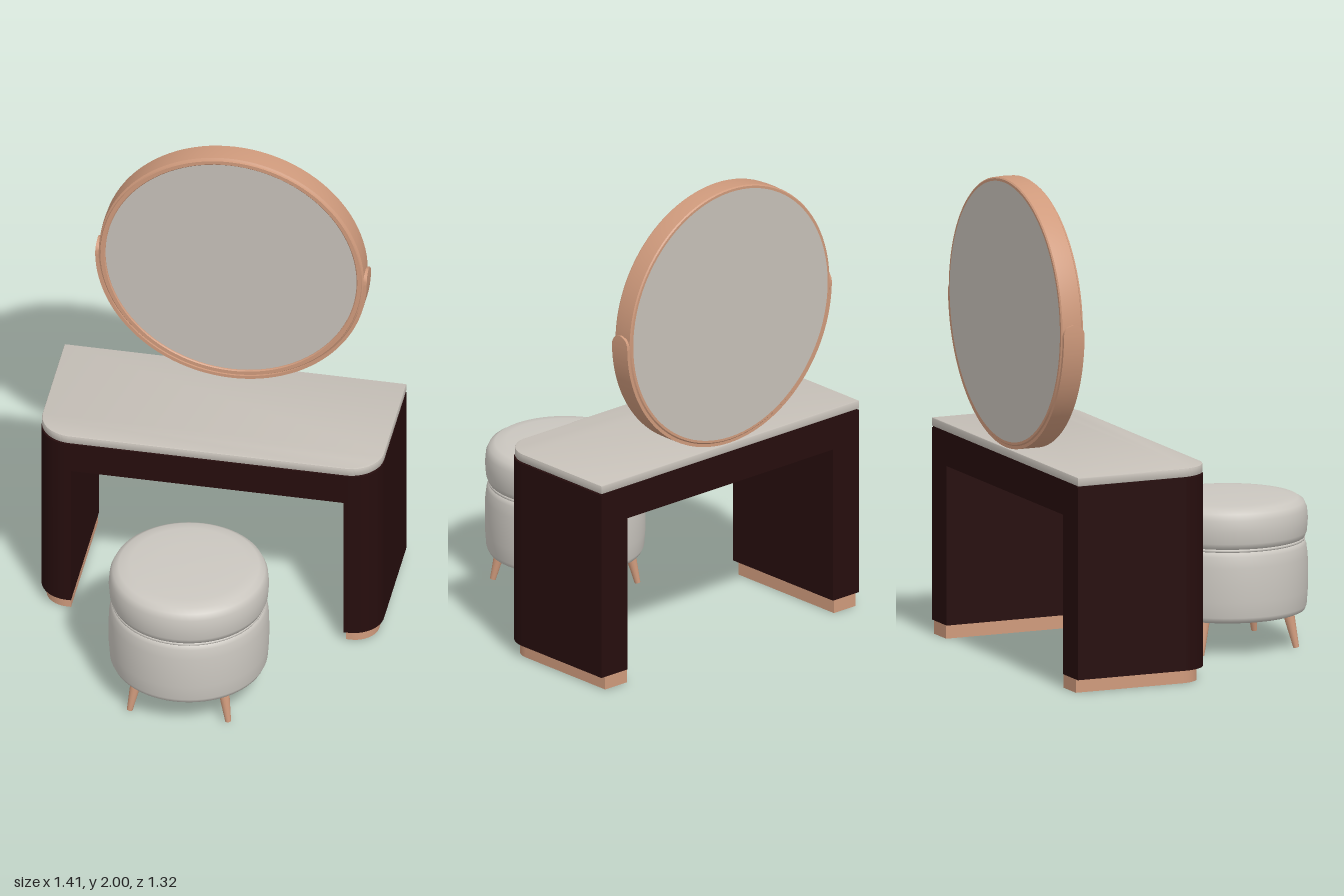
import * as THREE from 'three';
import { toCreasedNormals } from 'three/addons/utils/BufferGeometryUtils.js';

const mat = (name, color) => {
  const m = new THREE.MeshStandardMaterial({ color });
  m.name = name;
  return m;
};

// Plan outline with rounded front corners (r0 at x0, r1 at x1), extruded from y0 to y1
function slab(x0, x1, zBack, zFront, r0, r1, y0, y1, bevel = 0) {
  const b = bevel, f = -zFront - 0 + b, k = -zBack - b;
  const l = x0 + b, r = x1 - b;
  const s = new THREE.Shape();
  s.moveTo(l, k);
  s.lineTo(l, f + r0);
  if (r0) s.absarc(l + r0, f + r0, r0, Math.PI, Math.PI * 1.5, false);
  else s.lineTo(l, f);
  s.lineTo(r - r1, f);
  if (r1) s.absarc(r - r1, f + r1, r1, Math.PI * 1.5, Math.PI * 2, false);
  s.lineTo(r, k);
  s.closePath();
  const g = new THREE.ExtrudeGeometry(s, {
    depth: y1 - y0 - 2 * b, curveSegments: 16, bevelEnabled: b > 0,
    bevelThickness: b, bevelSize: b, bevelSegments: 2,
  });
  g.rotateX(-Math.PI / 2).translate(0, y0 + b, 0);
  return toCreasedNormals(g, 0.6);
}

// Flat strap bent round the lower half of a circle, with rounded ends
function strap(radius, reach, width, thick) {
  const len = 2 * radius * reach, h = width / 2;
  const g = new THREE.BoxGeometry(len, thick, width, 200, 1, 1);
  const p = g.attributes.position;
  for (let i = 0; i < p.count; i++) {
    const s = p.getX(i), r = radius - p.getY(i), a = s / radius;
    const e = Math.min(1, Math.max(0, (len / 2 - Math.abs(s)) / h));
    p.setXYZ(i, r * Math.sin(a), -r * Math.cos(a), p.getZ(i) * Math.sqrt(1 - (1 - e) ** 2));
  }
  return toCreasedNormals(g, 0.6);
}

const lathe = (pts, seg) =>
  new THREE.LatheGeometry(pts.map(([r, y]) => new THREE.Vector2(r, y)), seg);

export function createModel() {
  const stone = mat('pale stone', 0xc6c0b8);
  const fabric = mat('pale upholstery', 0xcbc7c0);
  const wood = mat('dark wood', 0x260d0d);
  const copper = mat('copper', 0xcf9a7c);

  const model = new THREE.Group();
  model.name = 'dressingTableSet';
  const group = (name) => {
    const g = new THREE.Group();
    g.name = name;
    model.add(g);
    return g;
  };
  const add = (parent, name, geometry, material) => {
    const m = new THREE.Mesh(geometry, material);
    m.name = name;
    parent.add(m);
    return m;
  };

  // Table: stone top, wooden arch, copper plinths
  const table = group('table');
  add(table, 'tableTop', slab(-0.705, 0.705, -0.66, -0.055, 0.13, 0.13, 0.853, 0.89, 0.005), stone);
  add(table, 'topRecess', slab(-0.695, 0.695, -0.66, -0.065, 0.12, 0.12, 0.845, 0.855), wood);
  add(table, 'apron', new THREE.BoxGeometry(1.126, 0.135, 0.603), wood).position.set(0, 0.7805, -0.3585);
  for (const [side, s] of [['left', 1], ['right', -1]]) {
    const pair = (inner, outer, zf, r, y0, y1) => s > 0
      ? slab(inner, outer, -0.66, zf, 0, r, y0, y1)
      : slab(-outer, -inner, -0.66, zf, r, 0, y0, y1);
    add(table, side + 'Leg', pair(0.562, 0.705, -0.057, 0.125, 0.055, 0.848), wood);
    add(table, side + 'Plinth', pair(0.567, 0.685, -0.085, 0.1, 0, 0.055), copper);
  }

  // Round mirror, lying in the xy plane around its own centre
  const mirror = group('mirror');
  mirror.position.set(0, 1.451, 0);
  const rim = lathe([
    [0.53, -0.66], [0.542, -0.66], [0.547, -0.655], [0.549, -0.61], [0.547, -0.572],
    [0.54, -0.567], [0.538, -0.56], [0.522, -0.56], [0.518, -0.564], [0.518, -0.58],
  ], 96);
  rim.rotateX(Math.PI / 2);
  add(mirror, 'mirrorFrame', toCreasedNormals(rim, 0.6), copper);
  add(mirror, 'mirrorGlass', new THREE.CircleGeometry(0.52, 96), stone).position.z = -0.568;
  const back = add(mirror, 'mirrorBack', new THREE.CircleGeometry(0.532, 96), stone);
  back.rotation.y = Math.PI;
  back.position.z = -0.6605;
  add(mirror, 'mirrorBracket', strap(0.553, 1.642, 0.092, 0.014), copper).position.z = -0.609;

  // Upholstered stool: drum, seam and cushion
  const stool = group('stool');
  stool.position.set(0, 0, 0.334);
  add(stool, 'stoolBase', lathe([
    [0, 0.14], [0.295, 0.14], [0.312, 0.147], [0.32, 0.165], [0.325, 0.23], [0.326, 0.3],
    [0.324, 0.37], [0.318, 0.415], [0.309, 0.434], [0.29, 0.438],
  ], 64), fabric);
  add(stool, 'stoolSeam', new THREE.TorusGeometry(0.307, 0.007, 8, 64), fabric)
    .rotation.x = Math.PI / 2;
  stool.getObjectByName('stoolSeam').position.y = 0.44;
  add(stool, 'stoolCushion', lathe([
    [0.29, 0.442], [0.312, 0.447], [0.321, 0.47], [0.325, 0.52], [0.321, 0.565],
    [0.309, 0.591], [0.285, 0.606], [0.24, 0.613], [0.13, 0.617], [0, 0.618],
  ], 64), fabric);

  // Four tapered, splayed legs
  const up = new THREE.Vector3(0, 1, 0);
  for (const sx of [-1, 1]) for (const sz of [-1, 1]) {
    const foot = new THREE.Vector3(sx * 0.203, 0.002, sz * 0.212);
    const top = new THREE.Vector3(sx * 0.178, 0.15, sz * 0.187);
    const dir = top.clone().sub(foot);
    const leg = add(stool, 'stoolLeg', new THREE.CylinderGeometry(0.024, 0.012, dir.length(), 16), copper);
    leg.position.copy(foot).add(top).multiplyScalar(0.5);
    leg.quaternion.setFromUnitVectors(up, dir.normalize());
  }
  return model;
}
